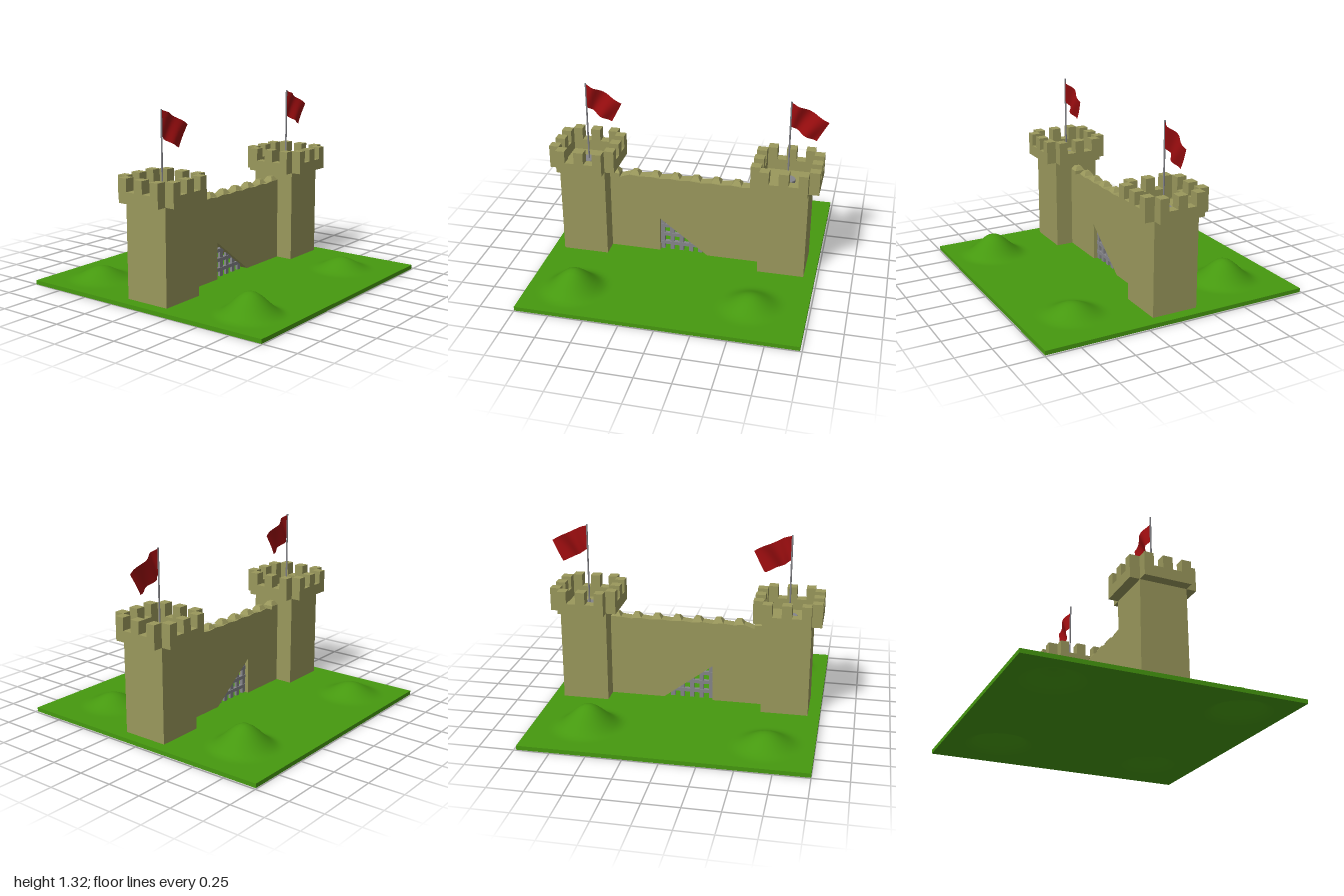
import * as THREE from 'three';

const material = (color) => new THREE.MeshStandardMaterial({ color });

function add(parent, name, geometry, mat, x = 0, y = 0, z = 0) {
  const mesh = new THREE.Mesh(geometry, mat);
  mesh.name = name;
  mesh.position.set(x, y, z);
  parent.add(mesh);
  return mesh;
}

function outline(points) {
  return new THREE.Shape(points.map(([x, y]) => new THREE.Vector2(x, y)));
}

// Thin slab whose top and underside both rise into smooth hills: [x, z, height, radius]
const HILLS = [
  [-0.67, 0.67, 0.155, 0.25], [0.59, -0.6, 0.16, 0.26],
  [0.59, 0.61, 0.085, 0.24], [-0.67, -0.66, 0.09, 0.25],
];

function groundGeometry() {
  const g = new THREE.BoxGeometry(1.985, 0.03, 1.986, 64, 1, 64);
  g.translate(-0.0075, 0.015, 0);
  const p = g.attributes.position;
  for (let i = 0; i < p.count; i++) {
    let y = p.getY(i);
    for (const [hx, hz, height, radius] of HILLS) {
      const d = Math.hypot(p.getX(i) - hx, p.getZ(i) - hz) / radius;
      if (d < 1) y += height * Math.cos(d * Math.PI / 2) ** 2;
    }
    p.setY(i, y);
  }
  g.computeVertexNormals();
  return g;
}

// Cloth hanging from the pole, skewed downwards and rippled
function flagGeometry() {
  const g = new THREE.PlaneGeometry(1, 1, 14, 8);
  const p = g.attributes.position;
  for (let i = 0; i < p.count; i++) {
    const u = p.getX(i) + 0.5, v = 0.5 - p.getY(i);
    const ripple = Math.sin(u * 9 + v * 2.5) * Math.min(1, u * 5) * (1 - 0.65 * u);
    p.setXYZ(i,
      u * (0.265 - 0.08 * v),
      1.315 - 0.125 * u - v * (0.175 - 0.025 * u) + 0.008 * Math.sin(u * Math.PI) * (1 - 2 * v),
      0.024 * ripple);
  }
  g.computeVertexNormals();
  return g;
}

function createTower(x, name, mats) {
  const tower = new THREE.Group();
  tower.name = name;
  tower.position.x = x;
  add(tower, 'towerBody', new THREE.BoxGeometry(0.34, 0.685, 0.34), mats.stone, 0, 0.3675, 0);

  // One crenellated panel projecting from each side
  const low = 0.79, high = 0.88;
  const panel = new THREE.ExtrudeGeometry(outline([
    [-0.17, 0.71], [0.17, 0.71], [0.17, high], [0.103, high], [0.103, low], [0.035, low],
    [0.035, high], [-0.035, high], [-0.035, low], [-0.103, low], [-0.103, high], [-0.17, high],
  ]), { depth: 0.072, bevelEnabled: false });
  panel.translate(0, 0, 0.17);
  for (let i = 0; i < 4; i++) {
    add(tower, 'battlement', panel, mats.stone).rotation.y = i * Math.PI / 2;
  }

  // Flagpole with its round foot, and flag
  add(tower, 'poleBase', new THREE.CylinderGeometry(0.055, 0.055, 0.02, 24), mats.iron, 0, 0.72, 0);
  add(tower, 'flagpole', new THREE.CylinderGeometry(0.006, 0.006, 0.61, 12), mats.iron, 0, 1.015, 0);
  add(tower, 'flag', flagGeometry(), mats.cloth);
  return tower;
}

// Wall with small pyramid merlons, slightly sagging gaps and a triangular gateway
function createWall(mats) {
  const wall = new THREE.Group();
  wall.name = 'curtainWall';
  const first = -0.54, step = 0.152, count = 8, topY = 0.645;
  const points = [[-0.58, 0.025], [-0.2, 0.025], [-0.2, 0.305], [0.17, 0.025], [0.57, 0.025], [0.57, topY]];
  for (let i = count - 2; i >= 0; i--) {
    const x = first + i * step;
    const dip = i === 0 ? 0.026 : 0.008;
    points.push([x + step - 0.038, topY], [x + 0.038, topY - dip]);
  }
  points.push([first + 0.036, topY], [-0.58, topY]);
  const body = new THREE.ExtrudeGeometry(outline(points), { depth: 0.08, bevelEnabled: false });
  add(wall, 'wallBody', body, mats.stone, 0, 0, -0.04);

  const merlon = new THREE.CylinderGeometry(0.018 * Math.SQRT2, 0.038 * Math.SQRT2, 0.03, 4, 1);
  merlon.rotateY(Math.PI / 4);
  for (let i = 0; i < count; i++) {
    add(wall, 'wallMerlon', merlon, mats.stoneFlat, first + i * step, topY + 0.015, 0);
  }
  return wall;
}

// Iron grating whose ends are buried in the wall
function createGate(mats) {
  const gate = new THREE.Group();
  gate.name = 'gate';
  const slope = (x) => 0.305 - (x + 0.2) * 0.75;
  for (let i = 0; i < 5; i++) {
    const x = -0.185 + i * 0.072;
    const h = slope(x) + 0.01 - 0.025;
    add(gate, 'gateUpright', new THREE.BoxGeometry(0.032, h, 0.02), mats.iron, x, 0.025 + h / 2, 0);
  }
  for (const y of [0.085, 0.158, 0.23]) {
    const w = (0.305 - y) / 0.75 + 0.03;
    add(gate, 'gateCrossbar', new THREE.BoxGeometry(w, 0.026, 0.028), mats.iron, -0.21 + w / 2, y, 0);
  }
  return gate;
}

export function createModel() {
  const mats = {
    grass: material(0x46990f),
    stone: material(0x9a985c),
    stoneFlat: material(0x9a985c),
    iron: material(0x85858a),
    cloth: material(0x9c0d0f),
  };
  mats.stoneFlat.flatShading = true;
  mats.cloth.side = THREE.DoubleSide;

  const model = new THREE.Group();
  model.name = 'castleGate';
  add(model, 'ground', groundGeometry(), mats.grass);
  model.add(createTower(-0.745, 'rightTower', mats));
  model.add(createTower(0.733, 'leftTower', mats));
  model.add(createWall(mats));
  model.add(createGate(mats));
  return model;
}
